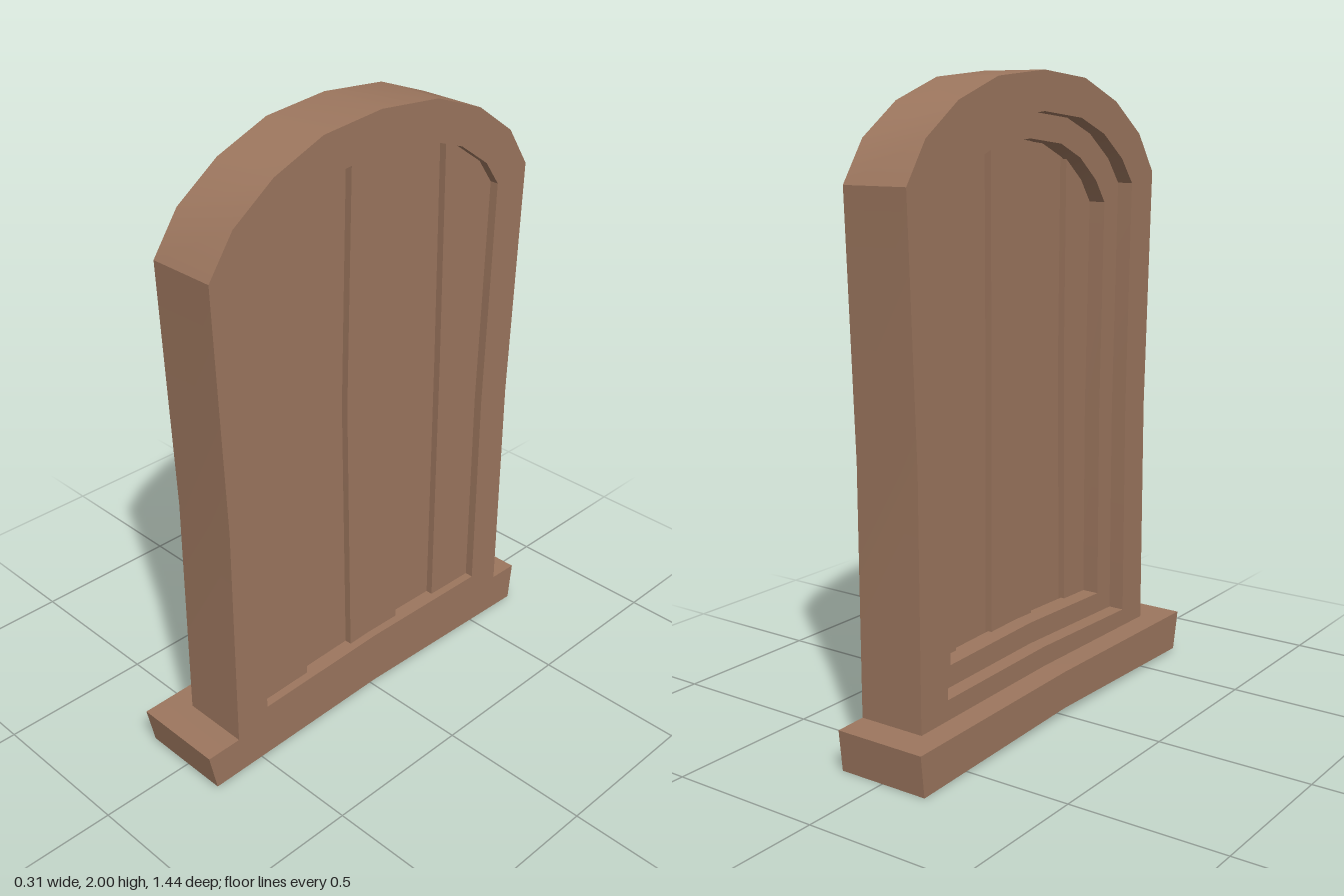
import * as THREE from 'three';
import { toCreasedNormals } from 'three/addons/utils/BufferGeometryUtils.js';

// Outlines are [z, y] points, seen from the +x side
const ARCH_OUT = [[0.632, 1.683], [0.545, 1.808], [0.4, 1.91], [0.22, 1.98], [0, 2],
  [-0.23, 1.978], [-0.415, 1.91], [-0.56, 1.808], [-0.643, 1.683]];
const ARCH_IN = [[0.503, 1.65], [0.44, 1.73], [0.33, 1.81], [0.2, 1.86], [0, 1.88],
  [-0.2, 1.86], [-0.34, 1.81], [-0.455, 1.73], [-0.513, 1.65]];
const OUTER = [[0, 0.145], [0.6, 0.138], [0.6, 0.9], ...ARCH_OUT, [-0.613, 0.9], [-0.613, 0.132]];
const OPENING = [[0, 0.21], [0.48, 0.198], [0.48, 0.9], ...ARCH_IN, [-0.49, 0.9], [-0.49, 0.198]];
const SILL = [[0, 0.024], [0.693, 0.01], [0.72, 0.138], [0, 0.145], [-0.717, 0.13], [-0.703, 0]];

// Height of the inner arch at a given z
function archHeight(z) {
  for (let i = 0; i < ARCH_IN.length - 1; i++) {
    const [z0, y0] = ARCH_IN[i], [z1, y1] = ARCH_IN[i + 1];
    if (z <= z0 && z >= z1) return y0 + (y1 - y0) * (z0 - z) / (z0 - z1);
  }
  return 1.65;
}

export function createModel() {
  const model = new THREE.Group();
  model.name = 'archedShutter';
  const wood = new THREE.MeshStandardMaterial({ color: 0x9c765e });
  wood.name = 'brown wood';

  const toPoints = (pts) => pts.map(([z, y]) => new THREE.Vector2(-z, y));

  // Slab extruded from x0 to x1; a hole winds counterclockwise inside a clockwise outline
  function slab(name, outline, x0, x1, hole) {
    const points = toPoints(outline);
    if (!THREE.ShapeUtils.isClockWise(points)) points.reverse();
    const shape = new THREE.Shape(points);
    if (hole) {
      const holePoints = toPoints(hole);
      if (THREE.ShapeUtils.isClockWise(holePoints)) holePoints.reverse();
      shape.holes.push(new THREE.Path(holePoints));
    }
    let geo = new THREE.ExtrudeGeometry(shape, { depth: x1 - x0, bevelEnabled: false });
    geo.rotateY(Math.PI / 2).translate(x0, 0, 0);
    geo = toCreasedNormals(geo, THREE.MathUtils.degToRad(30));
    const mesh = new THREE.Mesh(geo, wood);
    mesh.name = name;
    model.add(mesh);
  }

  slab('sill', SILL, -0.155, 0.15);
  slab('archedFrame', OUTER, -0.073, 0.15, OPENING);

  // Narrower stepped rim on the -x side of the planks
  const rim = OPENING.map(([z, y]) => [z * 0.835, 0.27 + (y - 0.2) * (1.53 / 1.68)]);
  slab('innerRim', OPENING, -0.02, 0.05, rim);

  // Five planks, alternately thick and thin; seams give z at bottom, middle and top
  const seams = [[0.5, 0.5, 0.52], [0.283, 0.273, 0.283], [0.085, 0.103, 0.087],
    [-0.13, -0.122, -0.12], [-0.31, -0.308, -0.3], [-0.51, -0.51, -0.53]];
  for (let i = 0; i < 5; i++) {
    const [a, b] = [seams[i], seams[i + 1]];
    const top = [a[2], ...ARCH_IN.map((p) => p[0]).filter((z) => z < a[2] && z > b[2]), b[2]];
    const outline = [[b[0], 0.17], [a[0], 0.17], [a[1], 1.1],
      ...top.map((z) => [z, archHeight(z) + 0.025]), [b[1], 1.1]];
    if (i % 2 === 0) slab('thickPlank', outline, 0.037, 0.122);
    else slab('thinPlank', outline, 0.06, 0.099);
  }
  return model;
}
